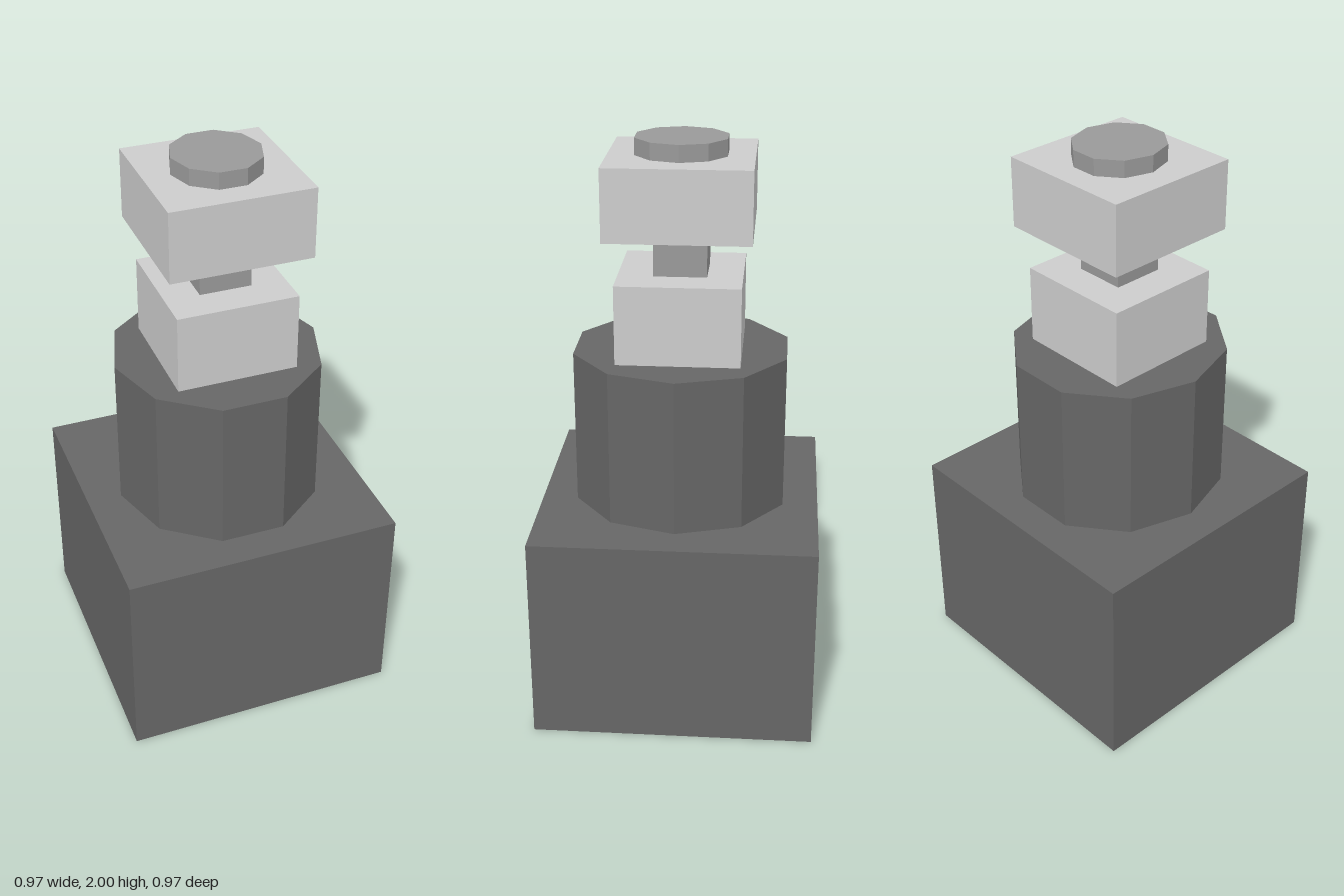
import * as THREE from 'three';

export function createModel() {
  const model = new THREE.Group();
  const material = (name, color) => {
    const m = new THREE.MeshStandardMaterial({ color, flatShading: true });
    m.name = name;
    return m;
  };
  const dark = material('dark grey', 0x666666);
  const mid = material('mid grey', 0x999999);
  const light = material('light grey', 0xcccccc);

  // Place a geometry of unit-free height between two levels
  const add = (name, geometry, mat, y0, y1) => {
    const mesh = new THREE.Mesh(geometry, mat);
    mesh.name = name;
    mesh.position.y = (y0 + y1) / 2;
    model.add(mesh);
  };
  const block = (name, half, y0, y1, mat) =>
    add(name, new THREE.BoxGeometry(half * 2, y1 - y0, half * 2), mat, y0, y1);
  // Ten-sided drum, corners on the x axis, stretched to be as deep as it is wide
  const drum = (name, r, y0, y1, mat) => {
    const geometry = new THREE.CylinderGeometry(r, r, y1 - y0, 10)
      .rotateY(Math.PI / 2)
      .scale(1, 1, 1 / Math.sin(Math.PI * 0.4));
    add(name, geometry, mat, y0, y1);
  };

  // Stacked from the ground up
  block('base', 0.485, 0, 0.73, dark);
  drum('body', 0.363, 0.73, 1.275, dark);
  block('collar', 0.21, 1.275, 1.548, light);
  block('neck', 0.09, 1.548, 1.7, mid);
  block('head', 0.243, 1.7, 1.943, light);
  drum('cap', 0.152, 1.943, 2, mid);

  return model;
}
